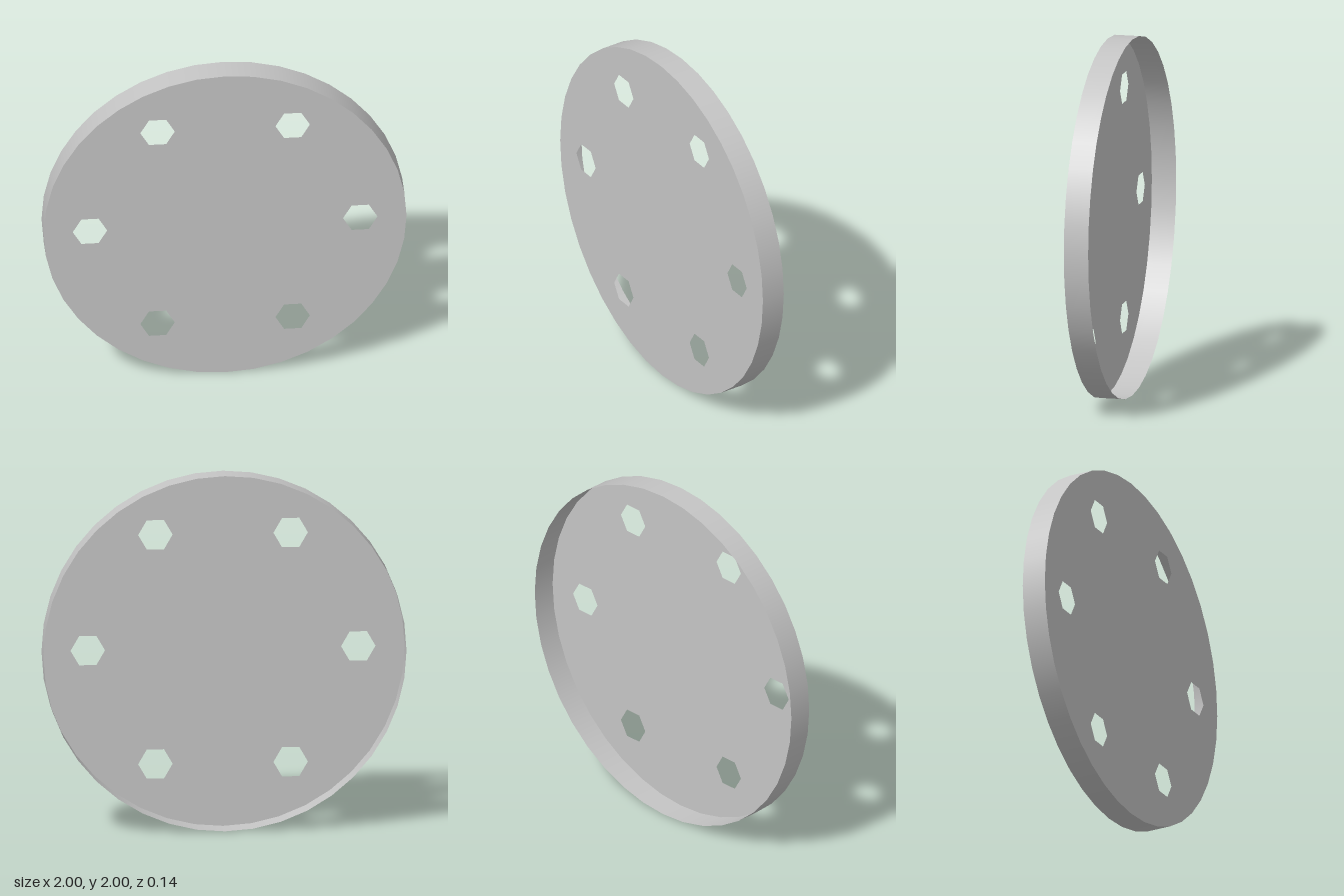
import * as THREE from 'three';

const RADIUS = 1, HALF_DEPTH = 0.069, SIDES = 40;
const HOLE_RING = 0.745, HOLE_RADIUS = 0.095, HOLES = 6;

// Regular polygon corners around (cx, cy)
function polygon(cx, cy, radius, sides) {
  return Array.from({ length: sides }, (_, i) => {
    const a = (i / sides) * Math.PI * 2;
    return new THREE.Vector2(cx + Math.cos(a) * radius, cy + Math.sin(a) * radius);
  });
}

export function createModel() {
  const metal = new THREE.MeshStandardMaterial({ color: 0xc4c4c4, side: THREE.DoubleSide });
  metal.name = 'light grey metal';

  const cap = new THREE.Group();
  cap.name = 'cap';

  // Front plate: thin disc with a ring of hexagonal holes
  const disc = new THREE.Shape(polygon(0, 0, RADIUS, SIDES));
  for (let i = 0; i < HOLES; i++) {
    const a = (i / HOLES) * Math.PI * 2;
    const x = Math.cos(a) * HOLE_RING, y = Math.sin(a) * HOLE_RING;
    disc.holes.push(new THREE.Path(polygon(x, y, HOLE_RADIUS, 6)));
  }
  const plate = new THREE.Mesh(new THREE.ShapeGeometry(disc), metal);
  plate.name = 'frontPlate';
  plate.position.set(0, RADIUS, HALF_DEPTH);
  cap.add(plate);

  // Rim: smooth thin wall, open at the back
  const wall = new THREE.CylinderGeometry(RADIUS, RADIUS, HALF_DEPTH * 2, SIDES, 1, true);
  wall.rotateX(Math.PI / 2);
  const rim = new THREE.Mesh(wall, metal);
  rim.name = 'rim';
  rim.position.y = RADIUS;
  cap.add(rim);

  return cap;
}
